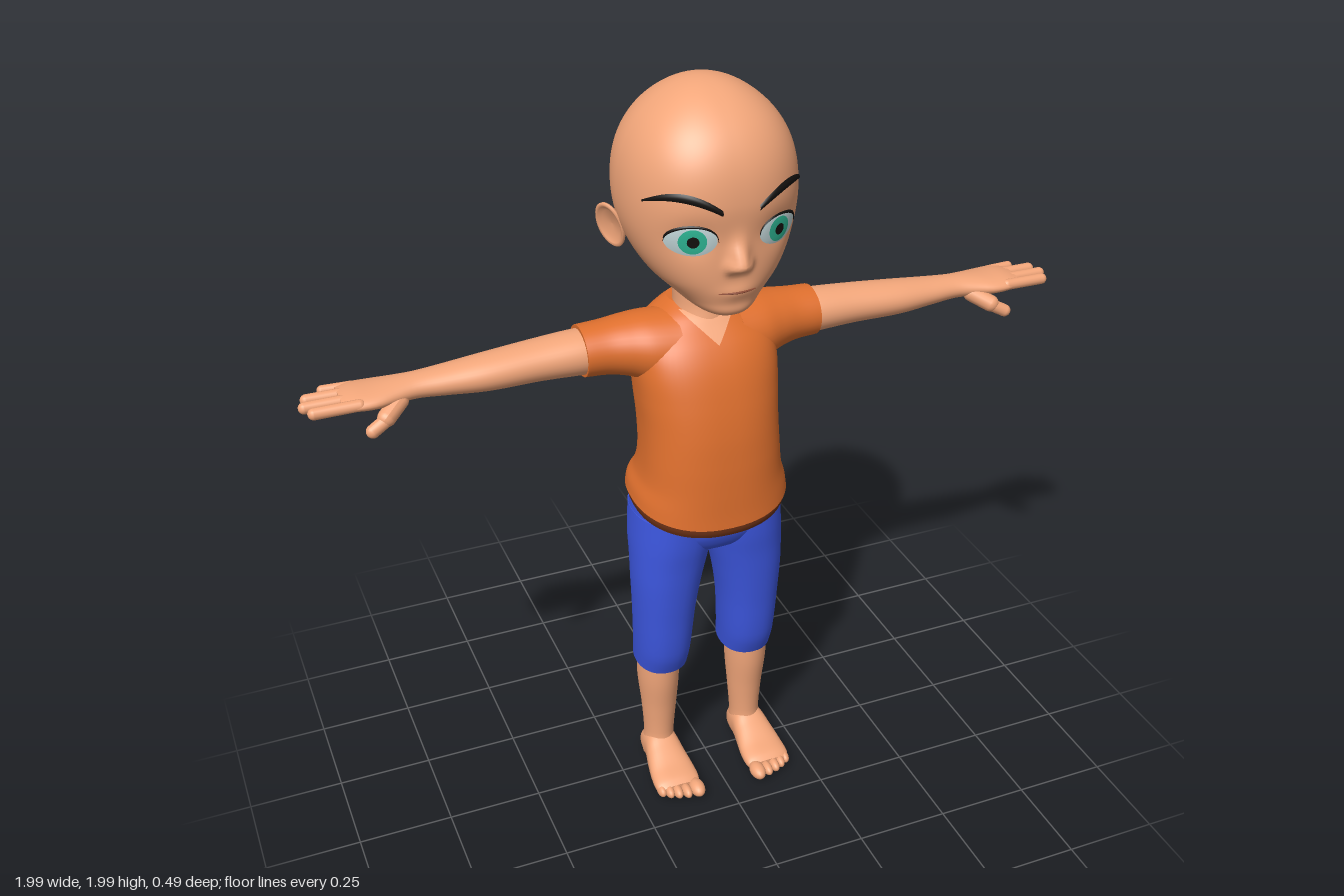
import * as THREE from 'three';

const mat = (color, side = THREE.FrontSide) => new THREE.MeshStandardMaterial({ color, side });
const { smoothstep } = THREE.MathUtils;
const gauss = (d, s) => Math.exp(-((d / s) ** 2));
const sym = (y, w, z0, z1) => [y, -w, w, z0, z1];

// Smooth interpolation of table rows [t, ...values]
function spline(rows) {
  const slope = (i, k) => {
    const a = rows[Math.max(i - 1, 0)], b = rows[Math.min(i + 1, rows.length - 1)];
    return (b[k] - a[k]) / (b[0] - a[0]);
  };
  return t => {
    let i = 0;
    while (i < rows.length - 2 && t > rows[i + 1][0]) i++;
    const p = rows[i], q = rows[i + 1], h = q[0] - p[0];
    const u = THREE.MathUtils.clamp((t - p[0]) / h, 0, 1), u2 = u * u, u3 = u2 * u;
    return p.slice(1).map((v, j) => v * (2 * u3 - 3 * u2 + 1) + q[j + 1] * (3 * u2 - 2 * u3)
      + h * (slope(i, j + 1) * (u3 - 2 * u2 + u) + slope(i + 1, j + 1) * (u3 - u2)));
  };
}

// Skin of superellipse sections; a section is [a0, a1, b0, b1] at t on the axis
const AXES = { x: ['z', 'y'], y: ['x', 'z'], z: ['y', 'x'] };
function loft(rowAt, ts, axis, { segs = 36, nF = 2, nB = 2, warp } = {}) {
  const pos = [], index = [], [A, B] = AXES[axis];
  const add = (t, a, b) => {
    const v = new THREE.Vector3();
    v[axis] = t; v[A] = a; v[B] = b;
    if (warp) warp(v);
    pos.push(v.x, v.y, v.z);
  };
  const ring = t => {
    const [a0, a1, b0, b1] = rowAt(t);
    for (let j = 0; j < segs; j++) {
      const th = j / segs * Math.PI * 2, c = Math.cos(th), s = Math.sin(th), e = 2 / (s > 0 ? nF : nB);
      add(t, (a0 + a1) / 2 + (a1 - a0) / 2 * Math.sign(c) * Math.abs(c) ** e,
        (b0 + b1) / 2 + (b1 - b0) / 2 * Math.sign(s) * Math.abs(s) ** e);
    }
  };
  ts.forEach(ring);
  for (let i = 0; i < ts.length - 1; i++) for (let j = 0; j < segs; j++) {
    const p = i * segs + j, q = i * segs + (j + 1) % segs;
    index.push(p, p + segs, q, p + segs, q + segs, q);
  }
  [ts[0], ts[ts.length - 1]].forEach((t, end) => {
    const s = pos.length / 3, [a0, a1, b0, b1] = rowAt(t);
    ring(t);
    add(t, (a0 + a1) / 2, (b0 + b1) / 2);
    for (let j = 0; j < segs; j++) {
      const p = s + j, q = s + (j + 1) % segs;
      if (end) index.push(s + segs, q, p); else index.push(s + segs, p, q);
    }
  });
  const g = new THREE.BufferGeometry();
  g.setAttribute('position', new THREE.Float32BufferAttribute(pos, 3));
  g.setIndex(index);
  g.computeVertexNormals();
  return g;
}
const steps = (a, b, n) => Array.from({ length: n + 1 }, (_, i) => a + (b - a) * i / n);
const tableLoft = (rows, axis, opt, n = 28) =>
  loft(spline(rows), steps(rows[0][0], rows[rows.length - 1][0], n), axis, opt);

function mirrored(geo) {
  const g = geo.clone().scale(-1, 1, 1), ix = g.index.array;
  for (let i = 0; i < ix.length; i += 3) [ix[i], ix[i + 1]] = [ix[i + 1], ix[i]];
  g.computeVertexNormals();
  return g;
}

// Front surface height of a lofted body at (x, y)
const frontZ = (rowAt, n) => (x, y) => {
  const [, w, z0, z1] = rowAt(y);
  return (z0 + z1) / 2 + (z1 - z0) / 2 * Math.max(0, 1 - Math.abs(x / w) ** n) ** (1 / n);
};

// Moves the flat points of a geometry by a rule
function remap(geo, rule) {
  const p = geo.attributes.position;
  for (let i = 0; i < p.count; i++) p.setXYZ(i, ...rule(p.getX(i), p.getY(i)));
  geo.computeVertexNormals();
  return geo;
}
const disc = (cx, cy, rx, ry, z) => remap(new THREE.RingGeometry(0.001, 1, 40, 6),
  (x, y) => [cx + x * rx, cy + y * ry, z(cx + x * rx, cy + y * ry)]);
const ribbon = (path, width, z) => remap(new THREE.PlaneGeometry(1, 1, 24, 4), (a, b) => {
  const u = a + 0.5, [x, y0] = path(u), y = y0 + b * width(u);
  return [x, y, z(x, y) + 0.004 * (1 - 4 * b * b)];
});

function capsule(a, b, r) {
  const p = new THREE.Vector3(...a), q = new THREE.Vector3(...b), d = q.clone().sub(p);
  const turn = new THREE.Quaternion().setFromUnitVectors(new THREE.Vector3(0, 1, 0), d.clone().normalize());
  const g = new THREE.CapsuleGeometry(r, d.length(), 8, 16).applyQuaternion(turn);
  return g.translate(...p.add(q).multiplyScalar(0.5).toArray());
}

export function createModel() {
  const model = new THREE.Group();
  const skin = mat(0xf2a67a), skinThin = mat(0xf2a67a, THREE.DoubleSide);
  const orange = mat(0xe0702e), brown = mat(0x6b3116), blue = mat(0x3d57e0);
  const black = mat(0x14110f, THREE.DoubleSide), white = mat(0xc4d8da, THREE.DoubleSide);
  const teal = mat(0x2fb896, THREE.DoubleSide), lipLine = mat(0x8a4a34, THREE.DoubleSide);
  const add = (name, geo, m) => {
    const mesh = new THREE.Mesh(geo, m);
    mesh.name = name;
    model.add(mesh);
  };
  const pair = (name, geo, m) => {
    add(name + 'Left', geo, m);
    add(name + 'Right', mirrored(geo), m);
  };

  // Head: [s, half width, centre z, half depth], rounded off at both poles
  const headTable = spline([[-1, 0.18, 0.1, 0.3], [-0.96, 0.18, 0.085, 0.3], [-0.81, 0.18, 0.042, 0.257],
    [-0.62, 0.198, 0.025, 0.224], [-0.25, 0.212, -0.005, 0.217], [0.12, 0.217, -0.016, 0.2325],
    [0.68, 0.225, -0.012, 0.243], [1, 0.215, -0.01, 0.235]]);
  const headRow = y => {
    const s = (y - 1.717) / 0.268, [k, c, d] = headTable(s);
    const r = Math.sqrt(Math.max(1e-6, 1 - s * s));
    return [-k * r, k * r, c - d * r, c + d * r];
  };
  // Nose, nostrils, lips and eye sockets raised from the face
  const bump = (x, y) => {
    const ax = Math.abs(x), dn = y - 1.605;
    return 0.043 * gauss(x, 0.022) * gauss(dn, dn > 0 ? 0.048 : 0.018)
      + 0.014 * gauss(ax - 0.023, 0.012) * gauss(y - 1.6, 0.016)
      + 0.008 * gauss(x, 0.045) * gauss(y - 1.53, 0.02)
      - 0.01 * gauss(ax - 0.105, 0.045) * gauss(y - 1.668, 0.04);
  };
  const skull = frontZ(headRow, 2.3), faceZ = (x, y) => skull(x, y) + bump(x, y);
  const headYs = steps(0, Math.PI, 100).map(a => 1.717 - 0.268 * Math.cos(a));
  add('head', loft(headRow, headYs, 'y', {
    segs: 200, nF: 2.3, warp: v => { if (v.z > 0.08) v.z += bump(v.x, v.y); },
  }), skin);

  // Eyes
  const ex = 0.107, ey = 1.668;
  const eyeZ = lift => (x, y) => faceZ(x, y) + lift
    + 0.009 * Math.max(0, 1 - ((x - ex) / 0.055) ** 2 - ((y - ey) / 0.037) ** 2);
  pair('eyeWhite', disc(ex, ey, 0.055, 0.037, eyeZ(0.003)), white);
  pair('iris', disc(ex, ey, 0.03, 0.031, eyeZ(0.005)), teal);
  pair('pupil', disc(ex, ey, 0.013, 0.014, eyeZ(0.007)), black);
  pair('upperLash', ribbon(u => [ex - 0.056 * Math.cos(u * Math.PI), ey + 0.038 * Math.sin(u * Math.PI)],
    u => 0.004 + 0.006 * u, eyeZ(0.005)), black);

  // Eyebrows and mouth
  const browPath = new THREE.QuadraticBezierCurve(new THREE.Vector2(0.045, 1.738),
    new THREE.Vector2(0.14, 1.805), new THREE.Vector2(0.197, 1.75));
  pair('eyebrow', ribbon(u => browPath.getPoint(u).toArray(),
    u => 0.004 + 0.017 * Math.sin(Math.PI * (0.2 + 0.8 * u)), (x, y) => faceZ(x, y) + 0.005), black);
  add('mouth', ribbon(u => [(u - 0.5) * 0.092, 1.532], u => 0.002 + 0.004 * Math.sin(u * Math.PI),
    (x, y) => faceZ(x, y) + 0.0005), lipLine);

  // Ears: dished lathe, flattened and tilted
  const earProfile = [[0.001, -0.4], [0.7, -0.28], [0.97, 0.05], [1, 0.2], [0.93, 0.3], [0.82, 0.25],
    [0.62, 0.02], [0.001, -0.05]].map(p => new THREE.Vector2(...p));
  const ear = new THREE.LatheGeometry(earProfile, 36).rotateZ(-Math.PI / 2).scale(0.035, 0.06, 0.042);
  remap(ear, (x, y) => [x, y, 0].slice(0, 2).concat(0)) && ear.dispose();
  const earGeo = new THREE.LatheGeometry(earProfile, 36).rotateZ(-Math.PI / 2).scale(0.035, 0.06, 0.042)
    .rotateY(-0.5).rotateZ(-0.25).translate(0.213, 1.635, -0.06);
  pair('ear', earGeo, skin);

  // Neck
  add('neck', tableLoft([sym(1.33, 0.085, -0.11, 0.06), sym(1.38, 0.074, -0.105, 0.05),
    sym(1.43, 0.069, -0.1, 0.04), sym(1.52, 0.075, -0.105, 0.04)], 'y'), skin);

  // Shirt body, neckline, hem and sleeves
  const hang = v => {
    v.y += (0.5 * v.x * v.x - 0.11 * v.z) * (1 - smoothstep(v.y, 0.9, 1.02));
  };
  const torso = [sym(0.888, 0.207, -0.172, 0.182), sym(0.92, 0.202, -0.166, 0.18), sym(0.97, 0.188, -0.145, 0.178),
    sym(1.04, 0.18, -0.125, 0.174), sym(1.12, 0.178, -0.135, 0.166), sym(1.2, 0.182, -0.145, 0.15),
    sym(1.28, 0.185, -0.149, 0.125), sym(1.335, 0.175, -0.148, 0.095), sym(1.38, 0.135, -0.138, 0.055),
    sym(1.405, 0.1, -0.128, 0.03), sym(1.42, 0.075, -0.115, 0)];
  add('shirt', tableLoft(torso, 'y', { segs: 64, nF: 2.4, nB: 2.4, warp: hang }, 60), orange);
  const chestZ = frontZ(spline(torso), 2.4);
  add('neckline', remap(new THREE.PlaneGeometry(1, 1, 10, 14), (a, b) => {
    const v = b + 0.5, x = a * 2 * 0.07 * v, y = 1.342 + 0.07 * v;
    return [x, y, chestZ(x, y) + 0.004];
  }), skinThin);
  add('shirtHem', tableLoft([sym(0.862, 0.199, -0.164, 0.173), sym(0.875, 0.203, -0.168, 0.178),
    sym(0.895, 0.203, -0.168, 0.178)], 'y', { segs: 64, nF: 2.4, nB: 2.4, warp: hang }, 6), brown);
  pair('sleeve', tableLoft([[0.08, -0.13, 0.08, 1.2, 1.405], [0.15, -0.135, 0.065, 1.225, 1.402],
    [0.2, -0.13, 0.045, 1.245, 1.396], [0.25, -0.122, 0.03, 1.255, 1.39], [0.31, -0.12, 0.024, 1.258, 1.386]], 'x'), orange);

  // Arms with palms
  pair('arm', tableLoft([[0.25, -0.11, 0.015, 1.262, 1.375], [0.31, -0.112, 0.018, 1.265, 1.377],
    [0.42, -0.108, 0.015, 1.27, 1.37], [0.55, -0.1, 0.015, 1.272, 1.36], [0.65, -0.092, 0.005, 1.28, 1.35],
    [0.72, -0.086, 0, 1.286, 1.345], [0.77, -0.095, 0.01, 1.286, 1.342], [0.82, -0.107, 0.023, 1.288, 1.338],
    [0.87, -0.11, 0.022, 1.292, 1.335], [0.9, -0.1, 0.01, 1.3, 1.328]], 'x', {}, 44), skin);

  // Fingers: [root z, tip x, tip z, radius]
  [[0.008, 0.966, 0.006, 0.0145], [-0.028, 0.981, -0.03, 0.0145], [-0.062, 0.97, -0.066, 0.0145],
    [-0.093, 0.927, -0.1, 0.0125]].forEach(([z0, x1, z1, r], i) =>
    pair('finger' + (i + 1), capsule([0.86, 1.316, z0], [x1, 1.314, z1], r), skin));
  pair('thumbBase', capsule([0.765, 1.3, -0.01], [0.805, 1.278, 0.022], 0.022), skin);
  pair('thumbTip', capsule([0.805, 1.275, 0.025], [0.842, 1.256, 0.034], 0.0165), skin);

  // Trousers
  add('trouserSeat', tableLoft([sym(0.735, 0.09, -0.07, 0.06), sym(0.76, 0.14, -0.115, 0.1),
    sym(0.8, 0.19, -0.144, 0.124), sym(0.84, 0.2, -0.15, 0.131), sym(0.9, 0.194, -0.152, 0.14)],
  'y', { segs: 48, nF: 2.3, nB: 2.3 }), blue);
  pair('trouserLeg', tableLoft([[0.358, 0.052, 0.195, -0.105, 0.055], [0.42, 0.048, 0.198, -0.1, 0.078],
    [0.55, 0.038, 0.203, -0.092, 0.094], [0.65, 0.022, 0.207, -0.095, 0.105], [0.72, 0.005, 0.207, -0.107, 0.112],
    [0.78, -0.01, 0.206, -0.13, 0.12], [0.86, -0.02, 0.2, -0.138, 0.125]], 'y',
  { nF: 2.2, nB: 2.2, warp: v => { v.y -= v.z * 0.12 * (1 - smoothstep(v.y, 0.36, 0.46)); } }), blue);

  // Shins, feet and toes
  pair('shin', tableLoft([[0.02, 0.095, 0.175, -0.075, 0.01], [0.06, 0.09, 0.176, -0.078, 0.028],
    [0.1, 0.09, 0.172, -0.072, 0.022], [0.2, 0.082, 0.178, -0.078, 0.03], [0.3, 0.075, 0.187, -0.092, 0.045],
    [0.4, 0.075, 0.187, -0.09, 0.052]], 'y'), skin);
  pair('foot', tableLoft([[-0.083, 0.025, 0.04, 0.12, 0.148], [-0.073, 0.005, 0.07, 0.1, 0.168],
    [-0.04, 0, 0.098, 0.088, 0.178], [0, 0, 0.105, 0.085, 0.182], [0.04, 0, 0.085, 0.08, 0.19],
    [0.09, 0, 0.06, 0.073, 0.198], [0.135, 0, 0.045, 0.073, 0.199], [0.152, 0.006, 0.034, 0.082, 0.188]],
  'z', { nF: 2.4, nB: 2.4 }, 36), skin);
  [[0.092, 0.167, 0.021, 0.034], [0.122, 0.165, 0.0135, 0.028], [0.146, 0.158, 0.0135, 0.027],
    [0.167, 0.149, 0.013, 0.026], [0.186, 0.138, 0.0125, 0.024]].forEach(([x, z, r, len], i) =>
    pair('toe' + (i + 1), new THREE.SphereGeometry(1, 20, 14).scale(r, i ? 0.016 : 0.02, len)
      .translate(x, i ? 0.018 : 0.021, z), skin));

  return model;
}
